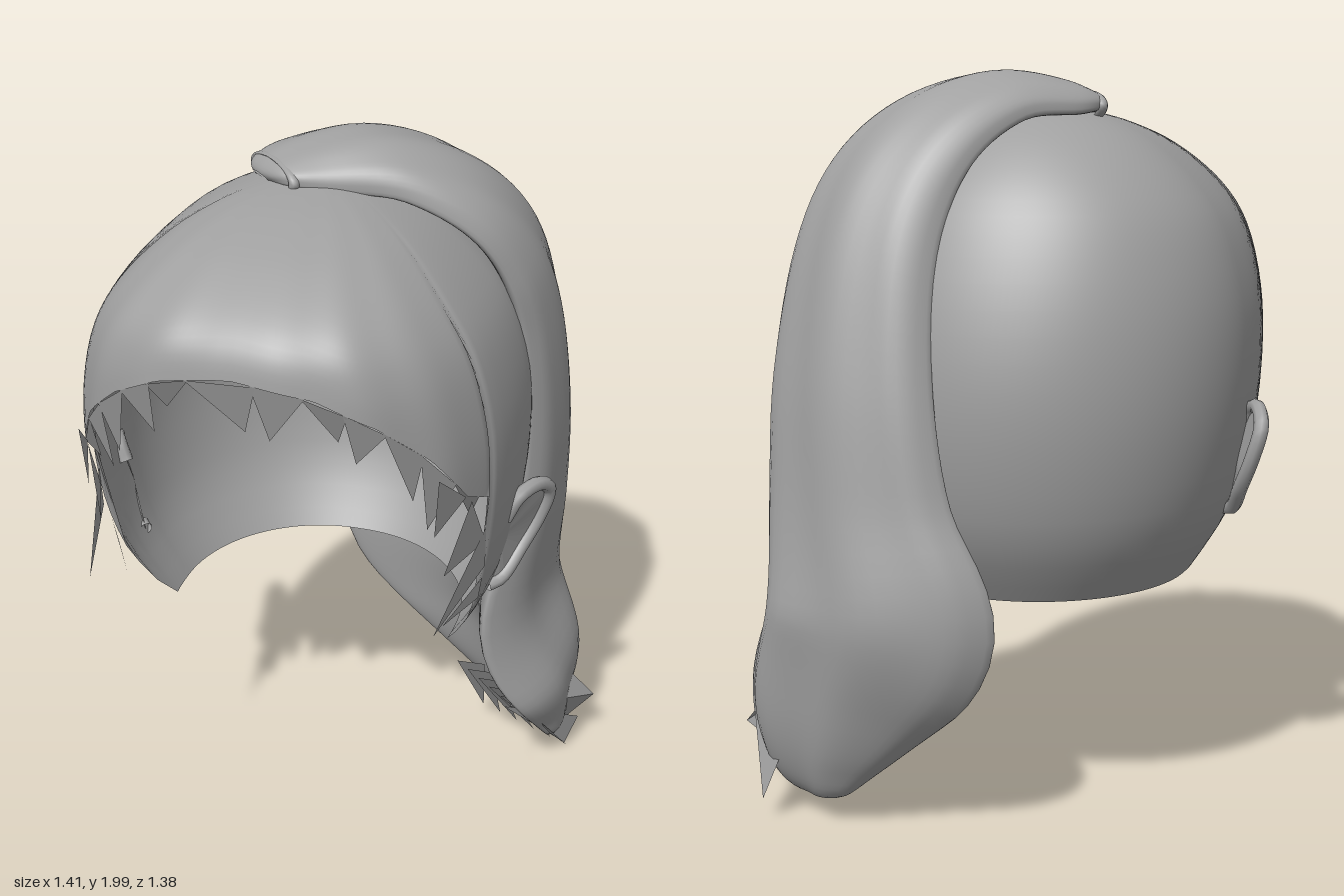
import * as THREE from 'three';

const hair = new THREE.MeshStandardMaterial({ color: 0xa0a0a0, side: THREE.DoubleSide });
hair.name = 'plain grey';

// Catmull-Rom sample of a table of rows at position u
function sample(rows, u) {
  const n = rows.length - 1;
  const i = Math.min(Math.max(Math.floor(u), 0), n - 1);
  const t = u - i;
  const a = rows[Math.max(i - 1, 0)], b = rows[i], c = rows[i + 1], d = rows[Math.min(i + 2, n)];
  return b.map((_, k) => 0.5 * (2 * b[k] + (c[k] - a[k]) * t
    + (2 * a[k] - 5 * b[k] + 4 * c[k] - d[k]) * t * t
    + (3 * b[k] - a[k] - 3 * c[k] + d[k]) * t * t * t));
}

// Smooth surface from rings of points, closed around each ring
function loft(rings) {
  const m = rings[0].length, pos = rings.flat(2), index = [];
  for (let j = 0; j < rings.length - 1; j++) {
    for (let i = 0; i < m; i++) {
      const a = j * m + i, b = j * m + (i + 1) % m;
      index.push(a, a + m, b, b, a + m, b + m);
    }
  }
  const g = new THREE.BufferGeometry();
  g.setAttribute('position', new THREE.Float32BufferAttribute(pos, 3));
  g.setIndex(index);
  g.computeVertexNormals();
  return g;
}

// Loose triangles, used for the pointed strands
function triangles(list) {
  const g = new THREE.BufferGeometry();
  g.setAttribute('position', new THREE.Float32BufferAttribute(list.flat(2), 3));
  g.computeVertexNormals();
  return g;
}

function add(group, name, geometry) {
  const mesh = new THREE.Mesh(geometry, hair);
  mesh.name = name;
  group.add(mesh);
  return mesh;
}

// Scalp levels: y, half width, front z, back z
const CX = -0.06, CZ = 0.05;
const levels = [
  [1.905, 0, 0.05, 0.05], [1.89, 0.11, 0.18, -0.06], [1.86, 0.21, 0.33, -0.16],
  [1.8, 0.32, 0.5, -0.26], [1.7, 0.43, 0.65, -0.36], [1.58, 0.51, 0.69, -0.43],
  [1.4, 0.56, 0.68, -0.49], [1.2, 0.57, 0.66, -0.52], [1.0, 0.55, 0.63, -0.51],
  [0.8, 0.5, 0.52, -0.46], [0.63, 0.4, 0.42, -0.36],
];

// Lower edge of the scalp: degrees from the front, y
const edge = [[0, 1.61], [15, 1.58], [30, 1.51], [45, 1.4], [58, 1.26], [68, 1.22],
  [70, 0.85], [74, 0.71], [80, 0.64], [180, 0.63]];

function edgeY(deg) {
  const a = Math.abs(deg);
  const i = Math.max(1, edge.findIndex((e) => e[0] >= a));
  const [a0, y0] = edge[i - 1], [a1, y1] = edge[i];
  return y0 + (y1 - y0) * (a - a0) / (a1 - a0);
}

function levelAt(y) {
  let lo = 0, hi = levels.length - 1;
  for (let k = 0; k < 30; k++) {
    const mid = (lo + hi) / 2;
    if (sample(levels, mid)[0] > y) lo = mid; else hi = mid;
  }
  return hi;
}

function scalpPoint(deg, u) {
  const [y, w, zf, zb] = sample(levels, u);
  const a = deg * Math.PI / 180, s = Math.sin(a), c = Math.cos(a);
  const p = c > 0 ? 0.73 + 0.27 * (1 - c) ** 4 : 1; // squarer towards the front
  const ripple = 1 + 0.006 * Math.max(c, 0) * Math.sin(a * 16);
  return [
    CX + Math.sign(s) * Math.abs(s) ** p * w * ripple, y,
    CZ + (c > 0 ? c ** 0.73 * (zf - CZ) : -c * (zb - CZ)) * ripple,
  ];
}

const edgePoint = (deg) => scalpPoint(deg, levelAt(edgeY(deg)));

function makeScalp() {
  const rings = [];
  for (let j = 0; j <= 30; j++) {
    const ring = [];
    for (let deg = -180; deg < 180; deg += 2) ring.push(scalpPoint(deg, levelAt(edgeY(deg)) * j / 30));
    rings.push(ring);
  }
  return loft(rings);
}

// Ragged points along the forehead
function makeFringe() {
  const list = [];
  for (let deg = -58, k = 0; deg < 58; deg += 10, k++) {
    const a = edgePoint(deg), b = edgePoint(deg + 11);
    const length = 0.05 + 0.09 * Math.abs(Math.sin(k * 2.3));
    const f = 0.25 + 0.5 * (k % 2);
    list.push([a, [
      (a[0] + (b[0] - a[0]) * f) * 0.97,
      Math.min(a[1], b[1]) - length,
      a[2] + (b[2] - a[2]) * f - 0.04], b]);
  }
  return triangles(list);
}

// Pointed locks in front of each ear
function makeSideLocks(side) {
  const at = (o, y, z) => [CX + side * o, y, z];
  return triangles([
    [at(0.53, 1.12, 0.33), at(0.53, 1.0, 0.32), at(0.46, 0.93, 0.57)],
    [at(0.51, 1.24, 0.42), at(0.53, 1.08, 0.33), at(0.46, 1.05, 0.48)],
    [at(0.52, 0.95, 0.3), at(0.51, 0.88, 0.29), at(0.44, 0.84, 0.39)],
    [at(0.46, 1.36, 0.56), at(0.5, 1.26, 0.44), at(0.45, 1.2, 0.55)],
  ]);
}

// Ponytail lies along a diagonal: d runs to the back left, e runs across it
const diag = (d, y, e) => [(d - e) * Math.SQRT1_2, y, -(d + e) * Math.SQRT1_2];

// Ponytail sections: d, y, half width, e centre, half thickness, wrap round the head
const tail = [
  [-0.2, 1.89, 0.04, 0.08, 0.015, 0], [-0.18, 1.9, 0.1, 0.06, 0.035, 0],
  [-0.1, 1.91, 0.15, 0.05, 0.06, 0.02], [0.07, 1.915, 0.21, 0, 0.08, 0.04],
  [0.25, 1.84, 0.27, -0.03, 0.1, 0.07], [0.39, 1.7, 0.3, -0.03, 0.12, 0.1],
  [0.48, 1.5, 0.32, -0.01, 0.13, 0.12], [0.54, 1.2, 0.35, 0.02, 0.14, 0.15],
  [0.55, 0.9, 0.38, 0.05, 0.16, 0.18], [0.53, 0.6, 0.42, 0.09, 0.21, 0.24],
  [0.59, 0.35, 0.37, 0, 0.18, 0.19], [0.61, 0.18, 0.28, -0.03, 0.13, 0.1],
  [0.61, 0.08, 0.2, -0.05, 0.06, 0.03], [0.61, 0.075, 0.01, -0.05, 0.01, 0],
];

function makeTail() {
  const rings = [], steps = 78, n = tail.length - 1;
  for (let j = 0; j <= steps; j++) {
    const u = n * j / steps;
    const [d, y, he, ce, hd, wrap] = sample(tail, u);
    const p = sample(tail, Math.max(u - 0.3, 0)), q = sample(tail, Math.min(u + 0.3, n));
    const len = Math.hypot(q[0] - p[0], q[1] - p[1]) || 1;
    const nd = (p[1] - q[1]) / len, ny = (q[0] - p[0]) / len;
    const ring = [];
    for (let i = 0; i < 64; i++) {
      const a = i / 64 * Math.PI * 2, c = Math.cos(a), s = Math.sin(a);
      const strand = 1 + 0.06 * Math.sin(a * 9 + u * 0.8) * Math.min(u / 6, 1);
      const bulge = Math.sign(s) * Math.abs(s) ** 0.7;
      const off = hd * bulge * (s < 0 ? 0.5 : strand) - wrap * c * c;
      ring.push(diag(d + nd * off, y + ny * off, ce + he * c));
    }
    rings.push(ring);
  }
  return loft(rings);
}

// Thin spikes fanning out from the front lower edge of the ponytail
function makeTailTips() {
  const list = [];
  for (let k = 0; k < 6; k++) {
    const t = k / 5;
    list.push([[0.3 + 0.2 * t, 0.33, -0.18 + 0.17 * t], [0.38 + 0.16 * t, 0.32, -0.2 + 0.18 * t],
      [0.36 + 0.28 * t, 0.08 - 0.07 * t, -0.32 + 0.04 * t]]);
  }
  list.push([[0.5, 0.33, 0], [0.56, 0.38, -0.25], [0.7, 0.18, -0.34]]);
  list.push([[0.5, 0.33, 0], [0.7, 0.18, -0.34], [0.62, 0.1, -0.3]]);
  list.push([[0.48, 0.32, -0.01], [0.66, 0.1, -0.32], [0.63, 0.02, -0.28]]);
  list.push([[0.45, 0.2, -0.56], [0.6, 0.25, -0.45], [0.5, 0.07, -0.58]]);
  return triangles(list);
}

// Ear: rolled rim around a shallow dish
function makeEar(side) {
  const ear = new THREE.Group();
  const pts = [[0.54, 1.04, 0.14], [0.57, 1.1, 0.12], [0.61, 1.11, 0.05], [0.63, 1.07, 0],
    [0.61, 0.99, -0.005], [0.57, 0.9, 0.03], [0.53, 0.83, 0.1], [0.5, 0.82, 0.13]]
    .map(([o, y, z]) => new THREE.Vector3(CX + side * o, y, z));
  const curve = new THREE.CatmullRomCurve3(pts);
  add(ear, 'earRim', new THREE.TubeGeometry(curve, 32, 0.02, 8));
  const centre = [CX + side * 0.53, 0.97, 0.12];
  const rim = curve.getPoints(24).map((p) => p.toArray());
  add(ear, 'earDish', triangles(rim.slice(1).map((p, i) => [centre, rim[i], p])));
  return ear;
}

export function createModel() {
  const model = new THREE.Group();
  model.name = 'ponytailHair';
  add(model, 'scalpHair', makeScalp());
  add(model, 'fringe', makeFringe());
  add(model, 'ponytail', makeTail());
  add(model, 'ponytailTips', makeTailTips());

  // Flattened band where the ponytail is tied
  const band = add(model, 'hairTie', new THREE.TorusGeometry(0.11, 0.014, 10, 40));
  band.scale.y = 0.35;
  band.position.set(...diag(-0.17, 1.9, 0.06));
  band.rotation.y = Math.PI * 0.75;

  for (const side of [1, -1]) {
    const ear = makeEar(side);
    ear.name = side > 0 ? 'leftEar' : 'rightEar';
    model.add(ear);
    add(model, side > 0 ? 'leftSideLocks' : 'rightSideLocks', makeSideLocks(side));
  }
  return model;
}
